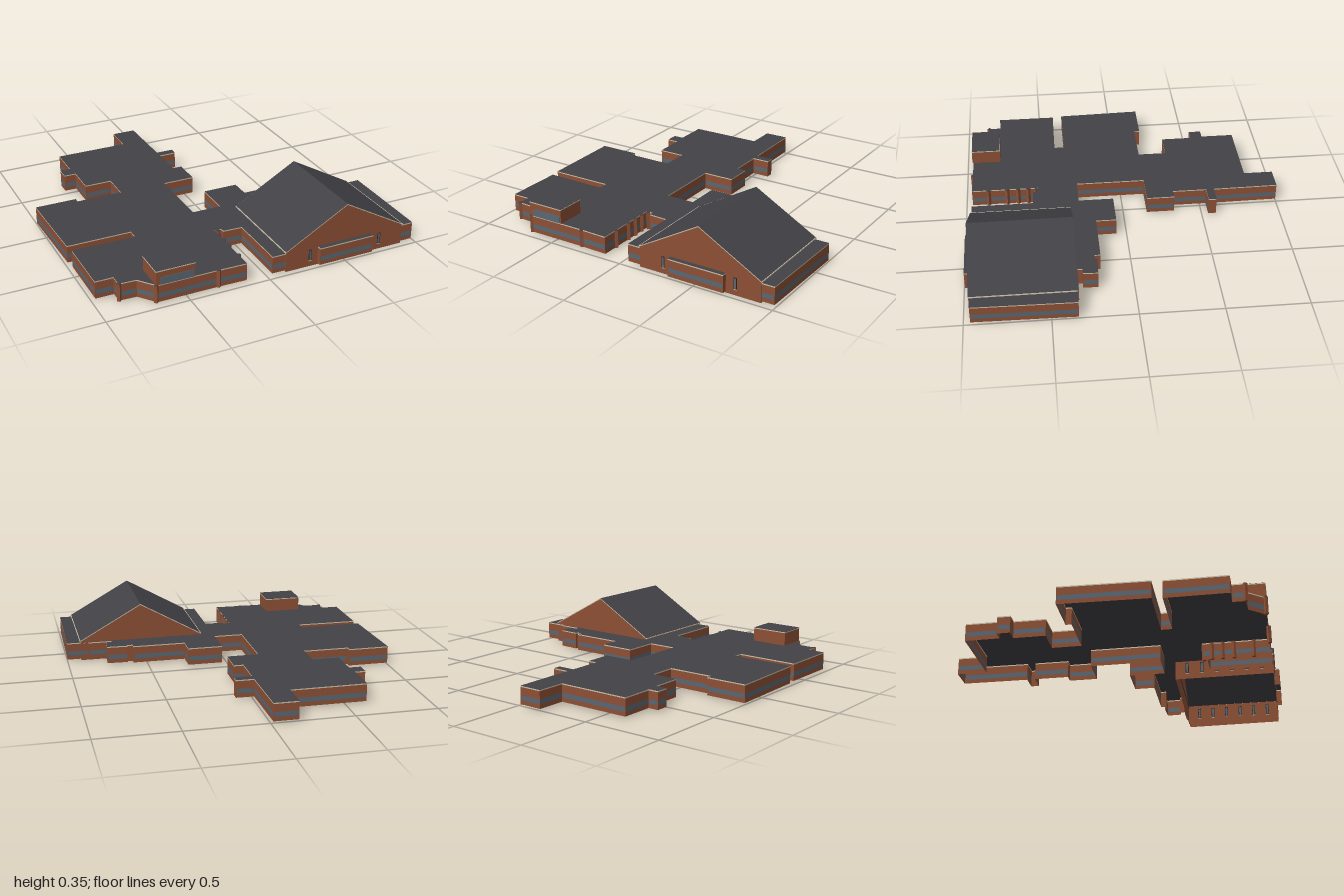
import * as THREE from 'three';

const mat = (name, color) => {
  const m = new THREE.MeshStandardMaterial({ color, side: THREE.DoubleSide });
  m.name = name;
  return m;
};

// Plan outline as x, z pairs, clockwise seen from above
const PLAN = [
  -0.165, -1, -0.015, -1, -0.01, -0.59, 0.1, -0.59, 0.1, -0.54, -0.01, -0.54,
  -0.01, -0.325, 0.05, -0.325, 0.05, -0.15, -0.15, -0.15, -0.15, 0.285,
  0.035, 0.285, 0.035, 0.065, 0.255, 0.065, 0.255, 0.19, 0.59, 0.19,
  0.59, 0.225, 0.625, 0.225, 0.625, 0.21, 0.755, 0.215, 0.75, 0.305,
  0.715, 0.305, 0.71, 0.335, 0.86, 0.335, 0.86, 0.345, 1, 0.345,
  0.99, 0.96, 0.69, 0.96, 0.69, 0.995, 0.33, 0.995, 0.33, 0.96,
  0.035, 0.96, 0.035, 0.575, -0.085, 0.57, -0.085, 0.545, -0.13, 0.54,
  -0.13, 0.96, -0.3, 0.955, -0.68, 0.955, -0.76, 0.855, -0.865, 0.85,
  -0.865, 0.775, -0.975, 0.775, -0.975, 0.405, -0.585, 0.41, -0.585, 0.345,
  -0.985, 0.345, -1, -0.185, -0.74, -0.185, -0.74, -0.15, -0.45, -0.15,
  -0.45, -0.33, -0.62, -0.33, -0.62, -0.525, -0.695, -0.525, -0.695, -0.605,
  -0.63, -0.605, -0.63, -0.815, -0.165, -0.815,
];

// Flat four-cornered faces gathered into one geometry
function quads(list) {
  const pos = [];
  for (const [a, b, c, d] of list) pos.push(...a, ...b, ...c, ...a, ...c, ...d);
  const g = new THREE.BufferGeometry();
  g.setAttribute('position', new THREE.Float32BufferAttribute(pos, 3));
  g.computeVertexNormals();
  return g;
}

// Upright wall face from plan point a to b
const wall = (a, b, y0, y1) => [
  [b[0], y0, b[1]], [a[0], y0, a[1]], [a[0], y1, a[1]], [b[0], y1, b[1]],
];

export function createModel() {
  const model = new THREE.Group();
  model.name = 'building';
  const brick = mat('brick', 0x8c4f34);
  const roof = mat('roofing', 0x424146);
  const glass = mat('glass', 0x586672);
  const cream = mat('creamTrim', 0xc9c0a8);
  const dark = mat('darkFrame', 0x2b2a2c);

  const add = (name, geometry, material, parent = model) => {
    const m = new THREE.Mesh(geometry, material);
    m.name = name;
    parent.add(m);
    return m;
  };
  const box = (name, w, h, d, x, y, z, material, parent) => {
    const m = add(name, new THREE.BoxGeometry(w, h, d), material, parent);
    m.position.set(x, y, z);
    return m;
  };

  // Low wing walls: brick, window ribbon, brick, cream coping
  const points = [];
  for (let i = 0; i < PLAN.length; i += 2) points.push([PLAN[i], PLAN[i + 1]]);
  const bricks = [], windows = [], coping = [];
  points.forEach((a, i) => {
    const b = points[(i + 1) % points.length];
    const len = Math.hypot(b[0] - a[0], b[1] - a[1]);
    coping.push(wall(a, b, 0.113, 0.12));
    if (len < 0.06) {
      bricks.push(wall(a, b, 0.01, 0.113));
      return;
    }
    const at = (t) => [a[0] + (b[0] - a[0]) * t, a[1] + (b[1] - a[1]) * t];
    const e = 0.006 / len, p = at(e), q = at(1 - e);
    bricks.push(wall(a, b, 0.01, 0.036), wall(a, b, 0.065, 0.113));
    bricks.push(wall(a, p, 0.036, 0.065), wall(q, b, 0.036, 0.065));
    windows.push(wall(p, q, 0.036, 0.065));
  });
  add('wingWalls', quads(bricks), brick);
  add('wingWindows', quads(windows), glass);
  add('wingCoping', quads(coping), cream);

  // Flat roof, open where the hall rises through it
  const X0 = 0.12, X1 = 0.91, Z0 = 0.345, Z1 = 0.965;
  const shape = new THREE.Shape(points.map(([x, z]) => new THREE.Vector2(x, -z)));
  shape.holes.push(new THREE.Path([
    [X0, -0.35], [X1, -0.35], [X1, -0.955], [X0, -0.955],
  ].map(([x, y]) => new THREE.Vector2(x, y))));
  const flat = add('flatRoof', new THREE.ShapeGeometry(shape).rotateX(-Math.PI / 2), roof);
  flat.position.y = 0.12;

  // Gabled hall, open underneath
  const hall = new THREE.Group();
  hall.name = 'hall';
  model.add(hall);
  const XM = (X0 + X1) / 2, EAVE = 0.13, RIDGE = 0.352;
  const gable = new THREE.Shape([
    [X0, 0], [X1, 0], [X1, EAVE], [XM, RIDGE], [X0, EAVE],
  ].map(([x, y]) => new THREE.Vector2(x, y)));
  add('frontGable', new THREE.ShapeGeometry(gable), brick, hall).position.z = Z1;
  const back = add('backGable', new THREE.ShapeGeometry(gable).rotateY(Math.PI), brick, hall);
  back.position.set(2 * XM, 0, Z0);
  add('hallSides', quads([
    wall([X1, Z0], [X1, Z1], 0, EAVE), wall([X0, Z1], [X0, Z0], 0, EAVE),
  ]), brick, hall);

  // Pitched roof slopes with cream edges
  const edges = [], slopes = [];
  for (const x of [X0 - 0.004, X1 + 0.004]) {
    const s = x < XM ? 1 : -1;
    const slope = [
      [x, EAVE, Z1 + 0.002], [XM, RIDGE + 0.003, Z1 + 0.002],
      [XM, RIDGE + 0.003, Z0 - 0.004], [x, EAVE, Z0 - 0.004],
    ];
    slopes.push(s > 0 ? slope : slope.reverse());
    for (const z of [Z0 - 0.004, Z1 + 0.002]) {
      edges.push([
        [x, EAVE - 0.005, z], [XM, RIDGE - 0.003, z],
        [XM, RIDGE + 0.003, z], [x, EAVE + 0.001, z],
      ]);
    }
    box('eaveTrim', 0.005, 0.006, Z1 - Z0 + 0.006, x, EAVE - 0.002, (Z0 + Z1) / 2, cream, hall);
  }
  add('hallRoof', quads(slopes), roof, hall);
  add('gableTrim', quads(edges), cream, hall);

  // Slit windows along the hall sides and front
  const slit = (x, z, turn) => {
    const g = new THREE.Group();
    g.name = 'slitWindow';
    g.position.set(x, 0.072, z);
    g.rotation.y = turn;
    box('slitFrame', 0.02, 0.072, 0.004, 0, 0, 0, dark, g);
    box('slitGlass', 0.012, 0.062, 0.006, 0, 0, 0, glass, g);
    box('slitSill', 0.02, 0.004, 0.007, 0, -0.036, 0, cream, g);
    hall.add(g);
  };
  for (let i = 0; i < 6; i++) {
    const z = 0.42 + i * 0.094;
    slit(X0, z, Math.PI / 2);
    slit(X1, z, Math.PI / 2);
  }
  for (const x of [0.28, 0.75]) slit(x, Z1, 0);

  // Raised rooftop block with a front window band
  const block = new THREE.Group();
  block.name = 'rooftopBlock';
  model.add(block);
  box('blockWalls', 0.235, 0.085, 0.183, -0.57, 0.1625, 0.867, brick, block);
  box('blockCoping', 0.237, 0.006, 0.185, -0.57, 0.206, 0.867, cream, block);
  box('blockRoof', 0.235, 0.003, 0.183, -0.57, 0.209, 0.867, roof, block);
  box('blockWindow', 0.2, 0.046, 0.004, -0.56, 0.144, 0.959, glass, block);

  // Small piers along the courtyard and front corners
  for (const [x, z] of [
    [-0.128, 0.6], [-0.128, 0.665], [-0.128, 0.735], [-0.128, 0.855],
    [-0.115, 0.55], [-0.863, 0.85], [-0.685, 0.953], [-0.305, 0.955],
  ]) {
    box('pier', 0.02, 0.109, 0.02, x, 0.0645, z, brick).rotation.y = Math.PI / 4;
    box('pierCap', 0.02, 0.002, 0.02, x, 0.12, z, roof).rotation.y = Math.PI / 4;
  }
  return model;
}
